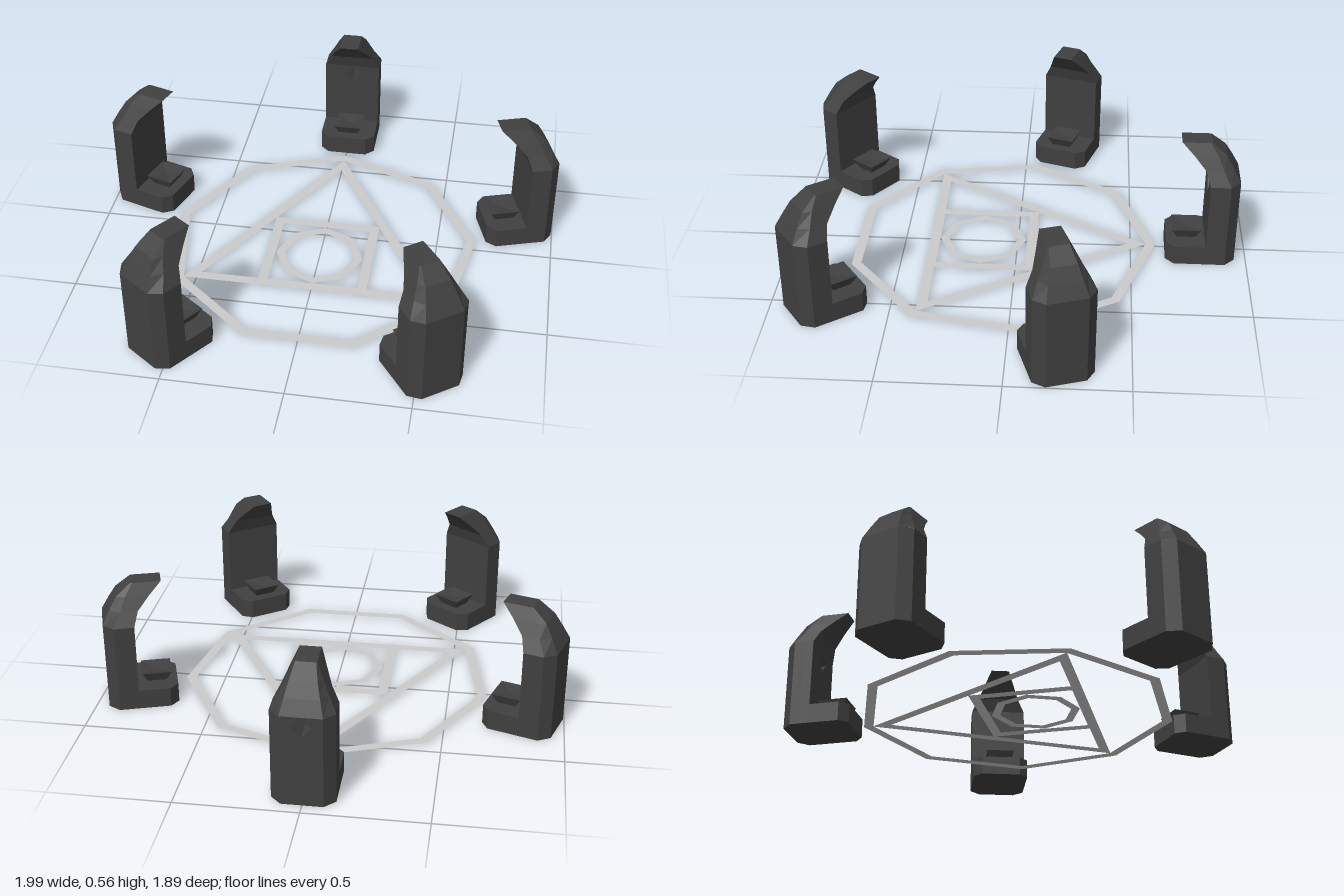
import * as THREE from 'three';

const stone = new THREE.MeshStandardMaterial({ color: 0x404040, flatShading: true });
stone.name = 'dark stone';
const chalk = new THREE.MeshStandardMaterial({ color: 0xcbcbcb, side: THREE.DoubleSide });
chalk.name = 'pale grey marking';

const CENTRE = 0.07; // z of the circle's middle

function part(name, geometry, material) {
  const mesh = new THREE.Mesh(geometry, material);
  mesh.name = name;
  return mesh;
}

// Skins a stack of sections [{ y, pts: [[x, z], ...] }] and caps the top
function loft(levels) {
  const out = [];
  const n = levels[0].pts.length;
  const at = (l, i) => [l.pts[i % n][0], l.y, l.pts[i % n][1]];
  for (let k = 0; k < levels.length - 1; k++) {
    const a = levels[k], b = levels[k + 1];
    for (let i = 0; i < n; i++) {
      out.push(...at(a, i), ...at(a, i + 1), ...at(b, i + 1));
      out.push(...at(a, i), ...at(b, i + 1), ...at(b, i));
    }
  }
  const top = levels[levels.length - 1];
  for (let i = 1; i < n - 1; i++) out.push(...at(top, 0), ...at(top, i), ...at(top, i + 1));
  const g = new THREE.BufferGeometry();
  g.setAttribute('position', new THREE.Float32BufferAttribute(out, 3));
  g.computeVertexNormals();
  return g;
}

// Upright slab with chamfered outer corners, optionally pierced by a diamond
function bodyGeometry(pierced) {
  const s = new THREE.Shape([[-0.128, 0], [0.128, 0], [0.128, 0.39], [-0.128, 0.39]].map(p => new THREE.Vector2(...p)));
  if (pierced) {
    s.holes.push(new THREE.Path([[0, 0.302], [-0.042, 0.344], [0, 0.386], [0.042, 0.344]].map(p => new THREE.Vector2(...p))));
  }
  const g = new THREE.ExtrudeGeometry(s, { depth: 0.13, steps: 3, bevelEnabled: false });
  const p = g.attributes.position;
  for (let i = 0; i < p.count; i++) {
    if (p.getZ(i) > 0.12 && Math.abs(p.getX(i)) > 0.1) p.setX(i, Math.sign(p.getX(i)) * 0.084);
  }
  g.translate(0, 0, 0.89);
  g.computeVertexNormals();
  return g;
}

// Tapered head leaning in over the foot: y, half width, outer half width, inner/shoulder/outer radius
function headGeometry() {
  return loft([
    [0.39, 0.128, 0.084, 0.89, 0.977, 1.02],
    [0.45, 0.097, 0.069, 0.87, 0.945, 0.988],
    [0.505, 0.07, 0.055, 0.82, 0.92, 0.955],
    [0.557, 0.043, 0.04, 0.765, 0.885, 0.892],
  ].map(([y, w, c, a, m, o]) => ({ y, pts: [[-w, m], [-c, o], [c, o], [w, m], [w, a], [-w, a]] })));
}

function footGeometry() {
  const pts = [[-0.128, 0.9], [0.128, 0.9], [0.128, 0.757], [0.09, 0.72], [-0.09, 0.72], [-0.128, 0.757]];
  const g = loft([{ y: 0, pts }, { y: 0.0865, pts }]);
  return g;
}

// Flared dish with a shallow pointed hollow
function dishGeometry() {
  return loft([[0.086, 0.045, 0.04], [0.13, 0.064, 0.063], [0.118, 0, 0]].map(([y, w, d]) => (
    { y, pts: [[-w, 0.808 + d], [w, 0.808 + d], [w, 0.808 - d], [-w, 0.808 - d]] })));
}

// Flat polygonal band on the ground with one corner at the given angle
function band(name, sides, outer, inner, angle, z) {
  const corners = r => Array.from({ length: sides }, (_, i) => {
    const a = angle + i * 2 * Math.PI / sides;
    return new THREE.Vector2(r * Math.cos(a), r * Math.sin(a));
  });
  const s = new THREE.Shape(corners(outer));
  s.holes.push(new THREE.Path(corners(inner)));
  const g = new THREE.ShapeGeometry(s);
  g.rotateX(-Math.PI / 2);
  g.translate(0, 0.01, z);
  return part(name, g, chalk);
}

export function createModel() {
  const model = new THREE.Group();
  model.name = 'stoneCircle';

  // Five pillars; only the rear one is pierced
  const head = headGeometry(), foot = footGeometry(), dish = dishGeometry();
  for (let i = 0; i < 5; i++) {
    const pillar = new THREE.Group();
    pillar.name = 'pillar' + (i + 1);
    pillar.add(
      part('body', bodyGeometry(i === 0), stone),
      part('head', head, stone),
      part('foot', foot, stone),
      part('offeringDish', dish, stone),
    );
    // underside of the body
    const base = new THREE.Shape([[-0.128, 0.89], [0.128, 0.89], [0.128, 0.977], [0.084, 1.02], [-0.084, 1.02], [-0.128, 0.977]]
      .concat([]).map(p => new THREE.Vector2(...p)));
    const sole = new THREE.Shape([[-0.128, 0.89], [-0.128, 0.757], [-0.09, 0.72], [0.09, 0.72], [0.128, 0.757], [0.128, 0.89]]
      .map(p => new THREE.Vector2(...p)));
    const under = new THREE.ShapeGeometry([base, sole]);
    under.rotateX(Math.PI / 2);
    pillar.add(part('underside', under, stone));
    pillar.position.z = CENTRE;
    pillar.rotation.y = Math.PI + i * 2 * Math.PI / 5;
    model.add(pillar);
  }

  // Ground markings
  const up = Math.PI / 2;
  model.add(
    band('nonagonBand', 9, 0.68, 0.637, up, CENTRE),
    band('triangleBand', 3, 0.64, 0.556, up, CENTRE),
    band('squareBand', 4, 0.235 * Math.SQRT2, 0.194 * Math.SQRT2, up / 2, 0.152),
    band('octagonBand', 8, 0.191, 0.154, up, 0.154),
  );
  return model;
}
